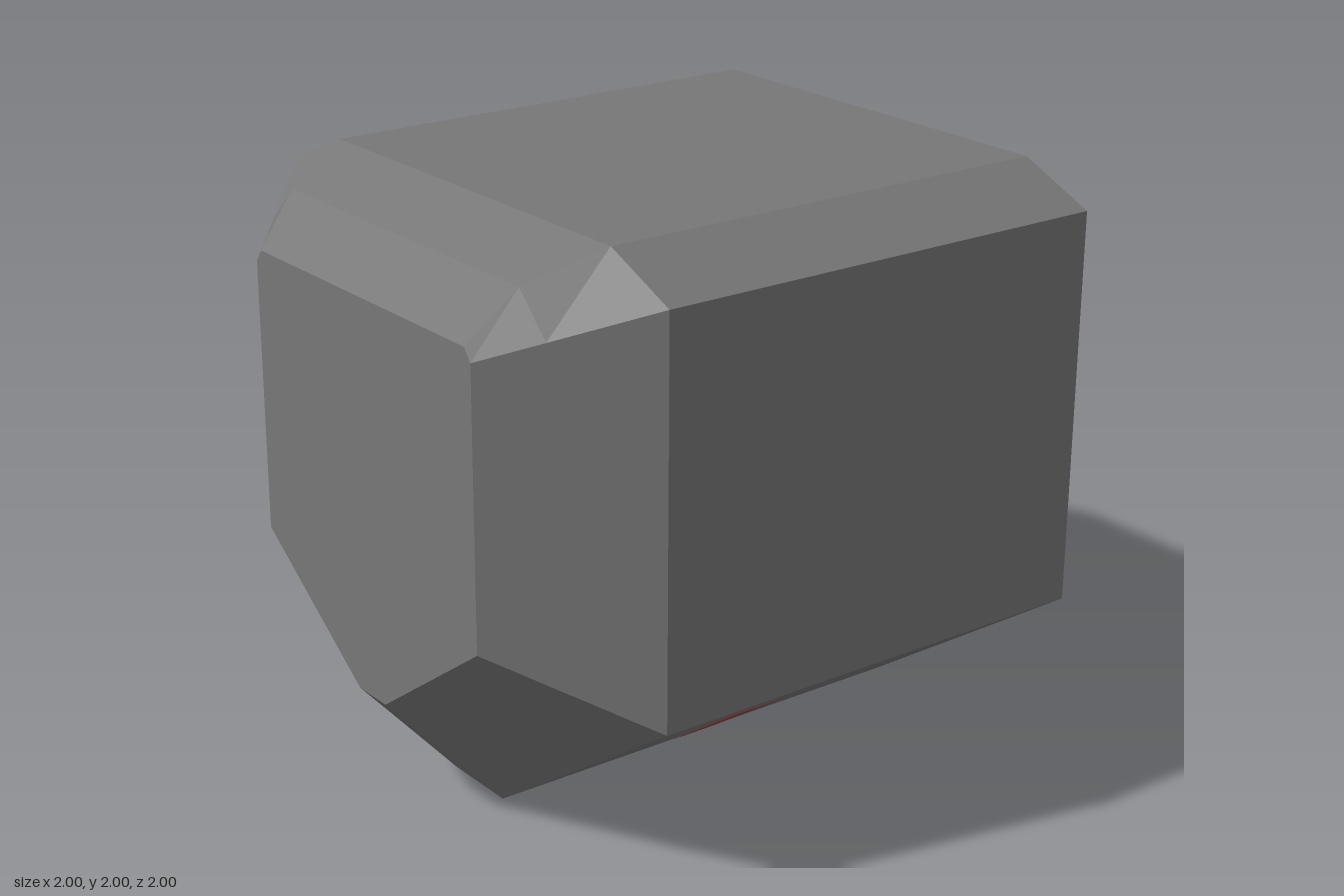
import * as THREE from 'three';

const bodyGrey = new THREE.MeshStandardMaterial({ color: 0x777777 });
bodyGrey.name = 'bodyGrey';
const markRed = new THREE.MeshStandardMaterial({ color: 0xc03030 });
markRed.name = 'markRed';
bodyGrey.flatShading = true;
markRed.flatShading = true;

// Full ring from its +x half, counterclockwise seen from the front
function ring(z, half) {
  const mirrored = half.slice().reverse().map(([x, y]) => [-x, y]);
  return [...half, ...mirrored].map(([x, y]) => [x, y, z]);
}

function toGeometry(triangles) {
  const geometry = new THREE.BufferGeometry();
  geometry.setAttribute('position', new THREE.Float32BufferAttribute(triangles.flat(2), 3));
  geometry.computeVertexNormals();
  return geometry;
}

function loft(rings) {
  const triangles = [];
  const n = rings[0].length;
  for (let r = 0; r < rings.length - 1; r++) {
    const a = rings[r], b = rings[r + 1];
    for (let i = 0; i < n; i++) {
      const j = (i + 1) % n;
      // Diagonals mirrored between the two sides
      if (i < n / 2) triangles.push([a[i], a[j], b[i]], [a[j], b[j], b[i]]);
      else triangles.push([a[i], a[j], b[j]], [a[i], b[j], b[i]]);
    }
  }
  // End caps
  const back = rings[0], front = rings[rings.length - 1];
  for (let i = 1; i < n - 1; i++) {
    triangles.push([back[0], back[i + 1], back[i]], [front[0], front[i], front[i + 1]]);
  }
  return toGeometry(triangles);
}

// Thin mark lying on a sloping underside
function mark(side) {
  const lift = 0.004;
  const p = [[0.21, 0.46], [-0.01, 0.455], [-0.03, 0.18], [0.13, 0.18]].map(([z, y]) => [
    side * (0.14 + 0.86 * y / 0.585 + 0.56 * lift), y - 0.83 * lift, z,
  ]);
  const triangles = [[p[0], p[2], p[1]], [p[0], p[3], p[2]]];
  if (side > 0) triangles.forEach((t) => t.reverse());
  const mesh = new THREE.Mesh(toGeometry(triangles), markRed);
  mesh.name = side > 0 ? 'leftMark' : 'rightMark';
  return mesh;
}

export function createModel() {
  const model = new THREE.Group();
  model.name = 'bevelledBlock';

  // Body: straight prism, then two tapering steps to the front face
  const section = [[0.135, 0], [1, 0.585], [1, 1.885], [0.73, 2]];
  const body = new THREE.Mesh(loft([
    ring(-1, section),
    ring(0.61, section),
    ring(0.85, [[0.1, 0.265], [0.754, 0.717], [0.754, 1.771], [0.625, 1.9]]),
    ring(1, [[0.075, 0.43], [0.6, 0.8], [0.6, 1.7], [0.57, 1.74]]),
  ]), bodyGrey);
  body.name = 'body';
  model.add(body);

  // Marks on both undersides
  for (const side of [1, -1]) model.add(mark(side));
  markRed.side = THREE.DoubleSide;
  return model;
}
